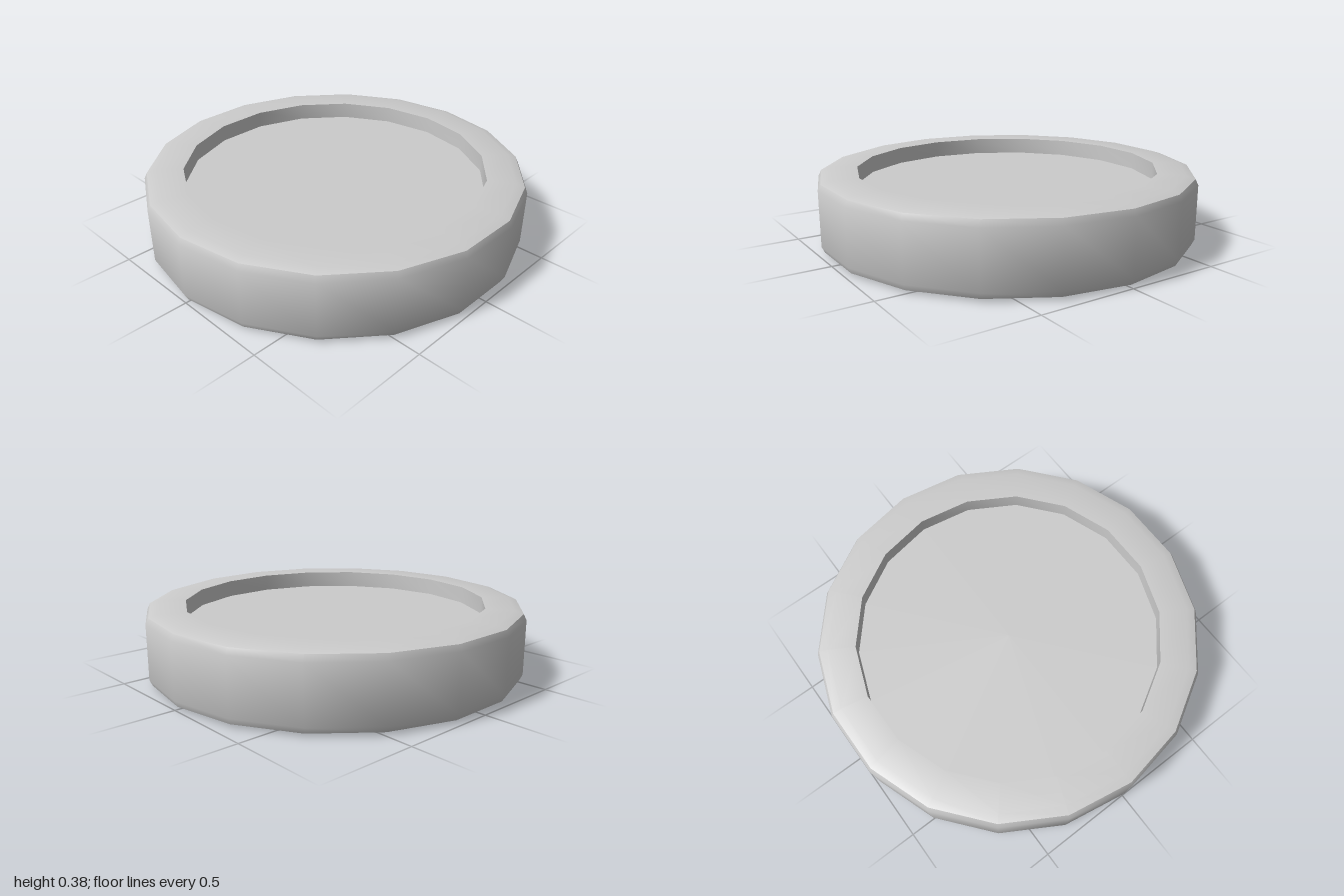
import * as THREE from 'three';
import { toCreasedNormals } from 'three/addons/utils/BufferGeometryUtils.js';

const SIDES = 18;
const HEIGHT = 0.375;

export function createModel() {
  const group = new THREE.Group();
  group.name = 'disc';

  // Lower half of the profile, from the axis out to the rim
  const lower = [
    [0, 0.09], [0.795, 0.09],            // recessed face
    [0.795, 0],                          // recess wall
    [0.94, 0], [0.985, 0.014], [1, 0.045], // rim with a soft bevel
  ];
  // Upper half mirrors the lower one
  const upper = lower.map(([r, y]) => [r, HEIGHT - y]).reverse();
  const profile = [...lower, ...upper].map(([r, y]) => new THREE.Vector2(r, y));

  // Turned around y with a corner on the x axis
  const lathe = new THREE.LatheGeometry(profile, SIDES, Math.PI / 2);
  const geometry = toCreasedNormals(lathe, THREE.MathUtils.degToRad(35));

  const body = new THREE.Mesh(geometry, new THREE.MeshStandardMaterial({ color: 0xcccccc }));
  body.name = 'rimmedDisc';
  group.add(body);
  return group;
}
